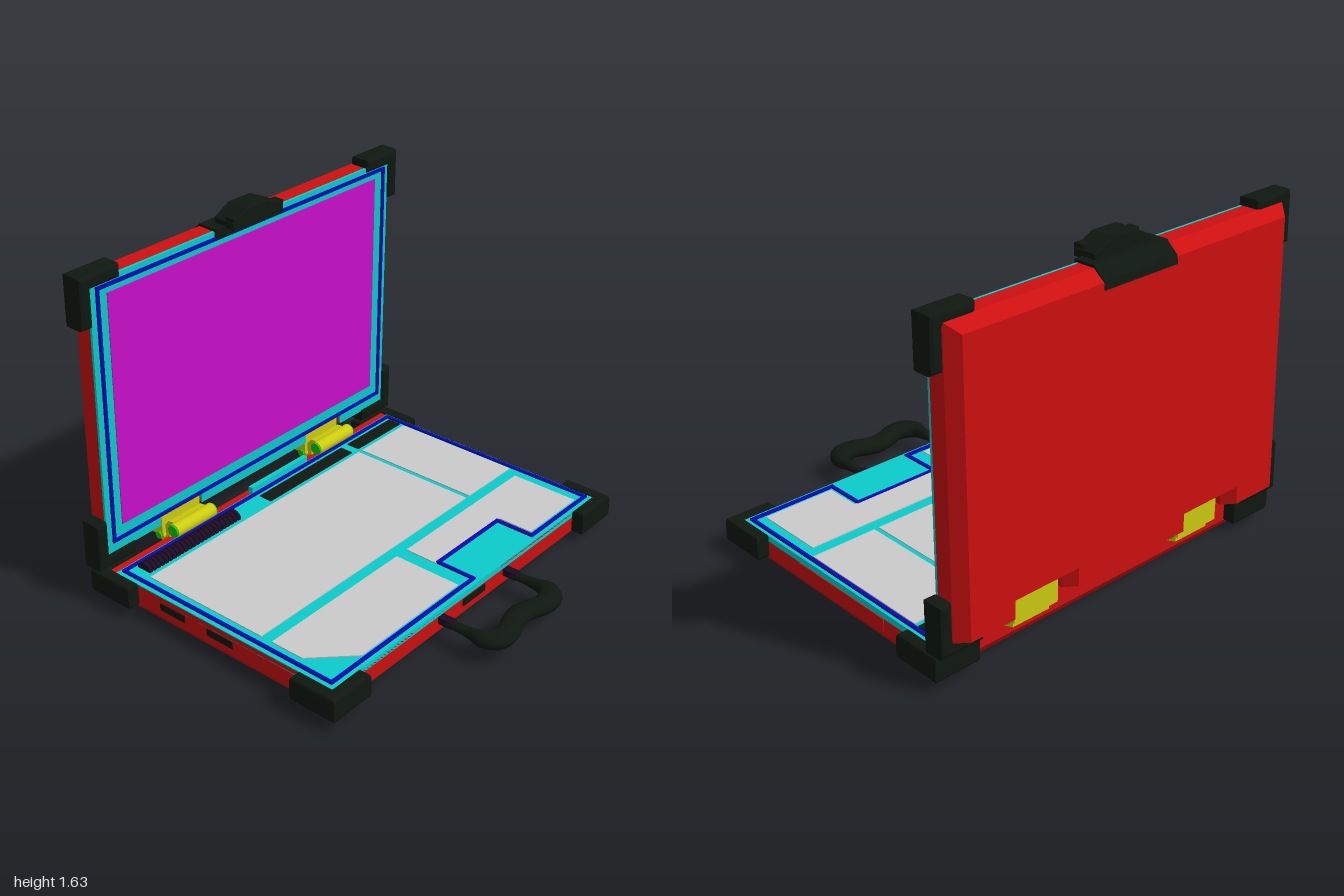
import * as THREE from 'three';
import { ConvexGeometry } from 'three/addons/geometries/ConvexGeometry.js';

const mat = (color) => new THREE.MeshStandardMaterial({ color });
const M = {
  red: mat(0xcc1010), teal: mat(0x0ccccc), blue: mat(0x0a0ab0), black: mat(0x0f1810), plum: mat(0x1c0a22),
  magenta: mat(0xcc10cc), yellow: mat(0xcccc10), green: mat(0x10cc10), grey: mat(0xcccccc),
};

function add(parent, name, geo, material, x = 0, y = 0, z = 0) {
  const m = new THREE.Mesh(geo, material);
  m.name = name;
  m.position.set(x, y, z);
  parent.add(m);
  return m;
}
// box from min/max limits
const box = (parent, name, material, x0, x1, y0, y1, z0, z1) =>
  add(parent, name, new THREE.BoxGeometry(x1 - x0, y1 - y0, z1 - z0), material, (x0 + x1) / 2, (y0 + y1) / 2, (z0 + z1) / 2);

const outline = (pts) => new THREE.Shape(pts.map(([a, b]) => new THREE.Vector2(a, b)));
const rect = (a0, a1, b0, b1) => [[a0, b0], [a1, b0], [a1, b1], [a0, b1]];

function slab(shape, depth, bevel = 0) {
  return new THREE.ExtrudeGeometry(shape, {
    depth: depth - 2 * bevel, bevelEnabled: bevel > 0, bevelThickness: bevel,
    bevelSize: bevel, bevelOffset: -bevel, bevelSegments: 2, curveSegments: 12,
  }).translate(0, 0, bevel);
}
// (x, z) outline lying flat, between y0 and y1
const flat = (parent, name, material, shape, y0, y1, bevel) =>
  add(parent, name, slab(shape, y1 - y0, bevel).rotateX(Math.PI / 2), material, 0, y1, 0);
// (z, y) outline standing up, between x0 and x1
const upright = (parent, name, material, shape, x0, x1, bevel) =>
  add(parent, name, slab(shape, x1 - x0, bevel).rotateY(-Math.PI / 2), material, x1, 0, 0);

function ring(outer, inner) {
  const s = outline(outer);
  s.holes.push(outline(inner));
  return s;
}
// L-shaped bumper outline with its outer corner at (a, b), arms running inward
function ell(a, b, sa, sb, arm = 0.23, arm2 = 0.23, t = 0.062) {
  return outline([[0, 0], [arm, 0], [arm, t], [t, t], [t, arm2], [0, arm2]].map(([p, q]) => [a - sa * p, b - sb * q]));
}

function buildBase() {
  const g = new THREE.Group();
  g.name = 'base';
  const pts = [];
  for (const s of [-1, 1]) for (const [x, y, z] of [
    [-0.75, 0.145, 0.94], [0.56, 0.145, 0.94], [-0.75, 0.045, 0.94], [0.56, 0.045, 0.94], [-0.72, 0, 0.91], [0.51, 0, 0.91],
  ]) pts.push(new THREE.Vector3(x, y, z * s));
  add(g, 'baseShell', new ConvexGeometry(pts), M.red);
  box(g, 'deck', M.teal, -0.71, 0.56, 0.12, 0.15, -0.94, 0.94);

  // seal stepping inward beside the handle
  const seal = (d) => [[-0.695 + d, -0.925 + d], [0.54 - d, -0.925 + d], [0.54 - d, -0.47 - d], [0.345 - d, -0.47 - d],
    [0.345 - d, -0.04 + d], [0.54 - d, -0.04 + d], [0.54 - d, 0.92 - d], [-0.695 + d, 0.92 - d]];
  flat(g, 'baseSeal', M.blue, ring(seal(0), seal(0.016)), 0.14, 0.16);

  // inner modules
  const panels = [
    rect(-0.565, 0.105, -0.9, -0.57), rect(-0.565, 0.105, -0.545, 0.87),
    [[0.165, -0.86], [0.51, -0.86], [0.51, -0.5], [0.335, -0.5], [0.335, -0.02], [0.165, -0.02]],
    [[0.165, 0.05], [0.51, 0.05], [0.51, 0.7], [0.335, 0.87], [0.165, 0.87]],
  ];
  panels.forEach((p) => flat(g, 'modulePanel', M.grey, outline(p), 0.13, 0.155));
  box(g, 'rearBlock', M.black, -0.66, -0.59, 0.13, 0.156, -0.9, -0.57);
  box(g, 'rearBlock', M.black, -0.66, -0.59, 0.13, 0.156, -0.52, 0.07);
  box(g, 'rearStrip', M.teal, -0.725, -0.7, 0.14, 0.185, -0.31, 0.08);

  // row of ribbed connectors
  const rib = new THREE.CylinderGeometry(0.04, 0.04, 0.018, 16).rotateX(Math.PI / 2);
  for (let i = 0; i < 24; i++) add(g, 'connectorRib', rib, M.plum, -0.63, 0.147, 0.28 + i * 0.0243);
  add(g, 'connectorCore', new THREE.CylinderGeometry(0.031, 0.031, 0.57, 16).rotateX(Math.PI / 2), M.black, -0.63, 0.147, 0.56);

  // side slots and cover
  for (const x of [-0.43, -0.145]) box(g, 'sideSlot', M.black, x, x + 0.15, 0.08, 0.115, 0.92, 0.944);
  box(g, 'handleSideSlot', M.black, 0.54, 0.564, 0.08, 0.115, -0.08, 0.08);
  box(g, 'sideCover', M.red, -0.42, 0.15, 0.065, 0.12, -0.944, -0.92);

  // corner bumpers
  for (const sz of [-1, 1]) {
    flat(g, 'baseBumper', M.black, ell(0.62, sz, 1, sz, 0.24), 0.04, 0.157, 0.015);
    flat(g, 'baseBumper', M.black, ell(-0.81, sz, -1, sz, 0.24), 0.04, 0.157, 0.015);
  }
  return g;
}

function buildLid() {
  const g = new THREE.Group();
  g.name = 'lid';
  g.position.set(-0.745, 0.22, 0);
  g.rotation.z = -0.031;
  const H = 1.325, W = 0.94;
  // outline notched at the two hinges
  const body = [[-W, 0], [-0.62, 0], [-0.62, 0.05], [-0.36, 0.05], [-0.36, 0], [0.36, 0], [0.36, 0.05],
    [0.62, 0.05], [0.62, 0], [W, 0], [W, H], [-W, H]];
  upright(g, 'lidFrame', M.red, outline(body), -0.1, -0.02);
  upright(g, 'lidFace', M.teal, outline(body), -0.02, -0.008);

  // rear panel, chamfered at the top and sides
  const back = new THREE.ExtrudeGeometry(outline(body), {
    depth: 0.01, bevelThickness: 0.055, bevelSize: 0.045, bevelOffset: -0.045, bevelSegments: 1,
  }).rotateY(-Math.PI / 2).translate(-0.09, 0, 0);
  const p = back.attributes.position;
  for (let i = 0; i < p.count; i++) if (p.getX(i) < -0.12 && p.getY(i) < 0.06) p.setY(i, 0.01);
  back.computeVertexNormals();
  add(g, 'lidBack', back, M.red);

  upright(g, 'lidSeal', M.blue, ring(rect(-0.91, 0.91, 0.055, 1.3), rect(-0.895, 0.895, 0.07, 1.285)), -0.015, 0.002);
  box(g, 'screen', M.magenta, -0.015, -0.004, 0.125, 1.255, -0.845, 0.85);

  for (const sz of [-1, 1]) {
    upright(g, 'lidBumper', M.black, ell(sz, H + 0.04, sz, 1, 0.22, 0.235), -0.102, 0.003, 0.015);
    upright(g, 'lidBumper', M.black, ell(sz, -0.055, sz, -1, 0.22, 0.235), -0.102, 0.003, 0.015);
  }

  // latch: plate over the top edge, sloped rear cover and hook
  box(g, 'latchPlate', M.black, -0.1, 0.004, 1.29, 1.337, -0.185, 0.23);
  const strap = slab(outline([[-0.16, 1.25], [-0.154, 1.287], [-0.1, 1.337], [-0.05, 1.337], [-0.05, 1.25]]), 0.41);
  add(g, 'latchCover', strap, M.black, 0, 0, -0.185);
  upright(g, 'latchHook', M.black, outline([[-0.145, 1.33], [0.175, 1.33], [0.175, 1.36], [0.085, 1.408], [-0.045, 1.408], [-0.145, 1.36]]),
    -0.065, 0.05, 0.006);
  box(g, 'latchLip', M.black, 0.0, 0.05, 1.325, 1.38, -0.14, 0.17);
  return g;
}

// hinge: barrel with pin, leaf down to the rear wall, plate in the lid notch
function buildHinge(z) {
  const g = new THREE.Group();
  g.name = 'hinge';
  g.position.z = z;
  const rod = (r, l) => new THREE.CylinderGeometry(r, r, l, 24).rotateX(Math.PI / 2);
  add(g, 'hingeBarrel', rod(0.034, 0.24), M.yellow, -0.687, 0.21);
  add(g, 'hingePin', rod(0.03, 0.256), M.green, -0.687, 0.21);
  add(g, 'lowerBarrel', rod(0.024, 0.23), M.yellow, -0.787, 0.15);
  add(g, 'lowerPin', rod(0.018, 0.256), M.green, -0.787, 0.15);
  const leaf = outline([[-0.68, 0.24], [-0.74, 0.232], [-0.8, 0.165], [-0.8, 0.11], [-0.74, 0.09], [-0.74, 0.17], [-0.68, 0.18]]);
  add(g, 'hingeLeaf', slab(leaf, 0.2), M.yellow, 0, 0, -0.1);
  box(g, 'hingePlate', M.yellow, -0.83, -0.765, 0.15, 0.272, -0.12, 0.12);
  return g;
}

// handle: elliptical sections swept along a U, with a waisted grip
function buildHandle() {
  const g = new THREE.Group();
  g.name = 'handle';
  for (const s of [-1, 1]) box(g, 'handleMount', M.plum, 0.55, 0.63, 0.085, 0.118, s * 0.235 - 0.02, s * 0.235 + 0.02);
  // x, z, half width, half height for one half of the U
  const half = [[0.6, 0.235, 0.026, 0.016], [0.66, 0.236, 0.024, 0.018], [0.73, 0.236, 0.027, 0.028], [0.79, 0.232, 0.046, 0.038],
    [0.832, 0.19, 0.056, 0.041], [0.838, 0.13, 0.052, 0.04], [0.815, 0.07, 0.05, 0.04]];
  const keys = [...half, [0.8, 0, 0.052, 0.04], ...half.map(([x, z, a, b]) => [x, -z, a, b]).reverse()];
  const path = new THREE.CatmullRomCurve3(keys.map(([x, z]) => new THREE.Vector3(x, 0.1, z)));
  const size = new THREE.CatmullRomCurve3(keys.map(([, , a, b]) => new THREE.Vector3(a, b, 0)));
  const N = 64, R = 20, pos = [], idx = [];
  for (let i = 0; i <= N; i++) {
    const c = path.getPoint(i / N), t = path.getTangent(i / N), s = size.getPoint(i / N);
    for (let j = 0; j < R; j++) {
      const a = (j / R) * Math.PI * 2, w = Math.cos(a) * s.x;
      pos.push(c.x - t.z * w, c.y + Math.sin(a) * s.y, c.z + t.x * w);
      if (i < N) {
        const k = i * R + j, n = i * R + (j + 1) % R;
        idx.push(k, k + R, n, n, k + R, n + R);
      }
    }
  }
  for (let j = 1; j < R - 1; j++) idx.push(0, j, j + 1, N * R, N * R + j + 1, N * R + j);
  const geo = new THREE.BufferGeometry();
  geo.setAttribute('position', new THREE.Float32BufferAttribute(pos, 3));
  geo.setIndex(idx);
  geo.computeVertexNormals();
  const grip = add(g, 'grip', geo, M.black.clone());
  grip.material.side = THREE.DoubleSide;
  return g;
}

export function createModel() {
  const model = new THREE.Group();
  model.name = 'ruggedCaseComputer';
  model.add(buildBase(), buildLid(), buildHinge(0.485), buildHinge(-0.485), buildHandle());
  return model;
}
